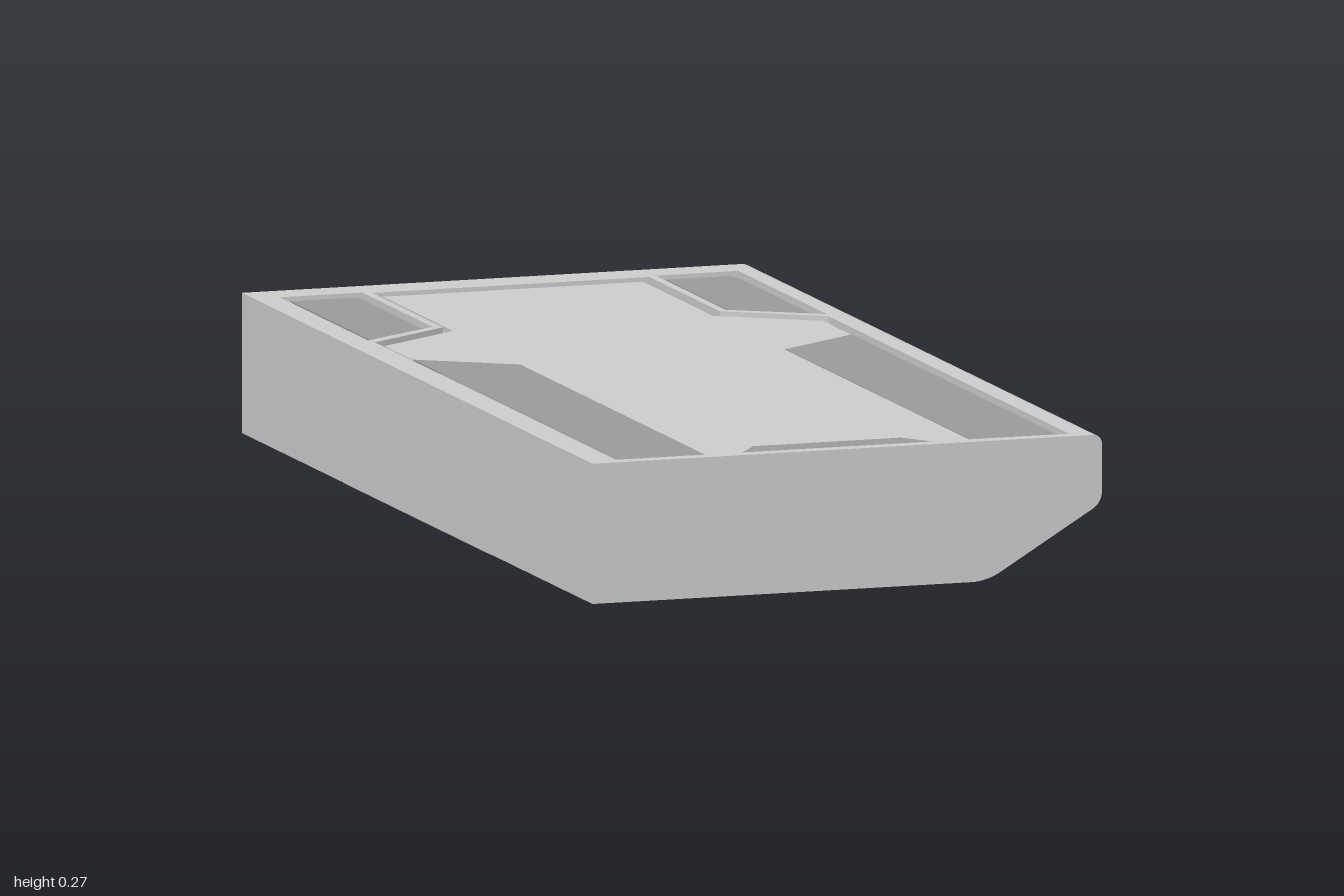
import * as THREE from 'three';
import { toCreasedNormals } from 'three/addons/utils/BufferGeometryUtils.js';

const grey = new THREE.MeshStandardMaterial({ color: 0xcccccc });
const dark = new THREE.MeshStandardMaterial({ color: 0x9a9a9a });

// Outline in plan from [x, z] pairs
const plan = (pts) => pts.map(([x, z]) => new THREE.Vector2(x, -z));
const mirrored = (pts) => pts.map(([x, z]) => [-x, z]);
// Full symmetric outline from its +x half
const symmetric = (half) => [...half, ...mirrored(half).reverse()];

export function createModel() {
  const model = new THREE.Group();

  const add = (name, geometry, material) => {
    const mesh = new THREE.Mesh(geometry, material);
    mesh.name = name;
    model.add(mesh);
  };

  // Flat slab with a plan outline, between two heights
  const slab = (name, pts, y0, y1, material, holes = []) => {
    const shape = new THREE.Shape(plan(pts));
    holes.forEach((h) => shape.holes.push(new THREE.Path(plan(h))));
    const geo = new THREE.ExtrudeGeometry(shape, { depth: y1 - y0, bevelEnabled: false });
    geo.rotateX(-Math.PI / 2).translate(0, y0, 0);
    add(name, geo, material);
  };

  const top = 0.265, floor = 0.248, plateTop = 0.259;

  // Body: cross-section with a chamfered lower edge and rounded corners on one side
  const section = new THREE.Shape();
  section.moveTo(-0.5, 0.001);
  section.lineTo(0.25, 0.001);
  section.quadraticCurveTo(0.28, 0.004, 0.302, 0.018);
  section.lineTo(0.48, 0.125);
  section.quadraticCurveTo(0.5, 0.137, 0.5, 0.16);
  section.lineTo(0.5, 0.245);
  section.quadraticCurveTo(0.5, top, 0.48, top);
  section.lineTo(0.47, top);
  section.lineTo(0.47, floor);
  section.lineTo(-0.5, floor);
  section.closePath();
  const body = new THREE.ExtrudeGeometry(section, { depth: 2, bevelEnabled: false, curveSegments: 8 });
  body.translate(0, 0, -1);
  add('body', toCreasedNormals(body, 0.5), grey);

  // Rim with openings for the main panel and the two corner inserts
  const opening = symmetric([[0.445, 0.972], [0.445, -0.402], [0.272, -0.517], [0.272, -0.92]]);
  const corner = [[0.45, -0.93], [0.288, -0.93], [0.288, -0.53], [0.45, -0.425]];
  const corners = [corner, mirrored(corner)];
  slab('rim', [[-0.5, 1], [0.47, 1], [0.47, -1], [-0.5, -1]], floor, top, grey, [opening, ...corners]);

  // Main panel, separated from the rim by a narrow groove
  slab('mainPanel', symmetric([[0.43, 0.963], [0.43, -0.39], [0.255, -0.507], [0.255, -0.907]]),
    floor, plateTop, grey);

  // Coloured areas on the main panel
  const strip = [[0.43, 0.963], [0.43, -0.225], [0.26, -0.11], [0.26, 0.963]];
  slab('leftStrip', strip, floor, plateTop + 0.001, dark);
  slab('rightStrip', mirrored(strip), floor, plateTop + 0.001, dark);
  slab('frontTab', symmetric([[0.2, 0.963], [0.145, 0.885]]), floor, plateTop + 0.001, dark);

  // Corner inserts: recessed bed with a raised plate
  const plate = [[0.433, -0.915], [0.303, -0.915], [0.303, -0.54], [0.433, -0.453]];
  corners.forEach((c) => slab('cornerBed', c, floor - 0.004, floor + 0.004, dark));
  [plate, mirrored(plate)].forEach((p) => slab('cornerPlate', p, floor, plateTop, dark));

  // Coloured tab under the straight edge
  slab('undersideTab', [[-0.5, 0.42], [-0.41, 0.375], [-0.41, -0.375], [-0.5, -0.42]], 0, 0.004, dark);

  return model;
}
